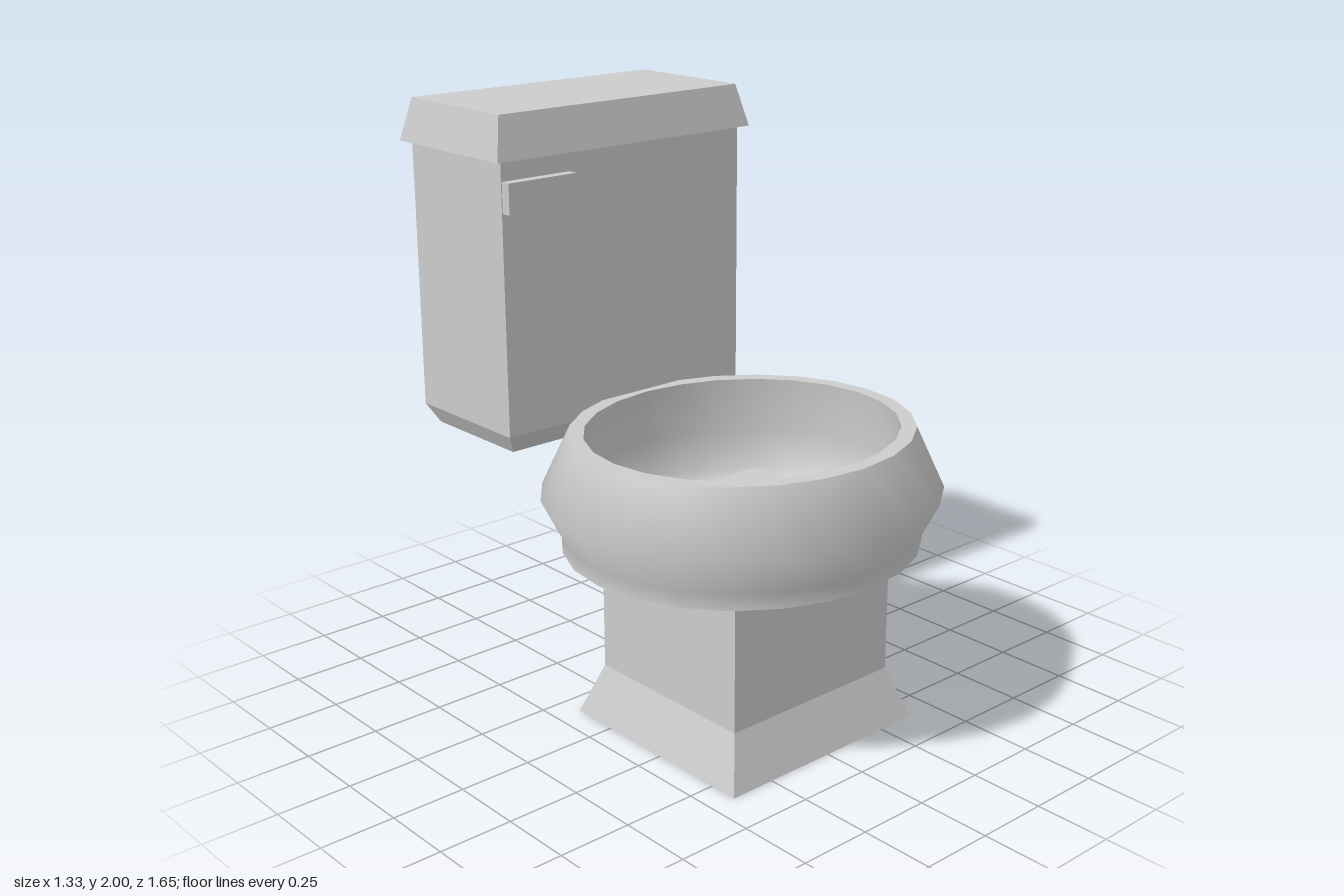
import * as THREE from 'three';
import { toCreasedNormals } from 'three/addons/utils/BufferGeometryUtils.js';

const material = new THREE.MeshStandardMaterial({ color: 0xcccccc });
const flatMaterial = new THREE.MeshStandardMaterial({ color: 0xcccccc, flatShading: true });

// Closed four-sided solid through rectangles [y, x0, x1, z0, z1], bottom to top
function loft(name, levels) {
  const positions = [];
  const rings = levels.map(([y, x0, x1, z0, z1]) => [[x0, y, z1], [x1, y, z1], [x1, y, z0], [x0, y, z0]]);
  const quad = (a, b, c, d) => positions.push(...a, ...b, ...c, ...a, ...c, ...d);
  for (let i = 0; i < rings.length - 1; i++) {
    for (let k = 0; k < 4; k++) {
      const n = (k + 1) % 4;
      quad(rings[i][k], rings[i][n], rings[i + 1][n], rings[i + 1][k]);
    }
  }
  const top = rings[rings.length - 1];
  quad(top[0], top[1], top[2], top[3]);
  quad(rings[0][3], rings[0][2], rings[0][1], rings[0][0]);
  const geometry = new THREE.BufferGeometry();
  geometry.setAttribute('position', new THREE.Float32BufferAttribute(positions, 3));
  geometry.computeVertexNormals();
  const mesh = new THREE.Mesh(geometry, flatMaterial);
  mesh.name = name;
  return mesh;
}

// Hollow round bowl, slightly shorter front to back than it is wide
function makeBowl() {
  const profile = [
    [0, 0.63], [0.6, 0.63], [0.6, 0.68], [0.665, 0.81], [0.58, 1.01],
    [0.53, 1.01], [0.55, 0.82], [0.53, 0.69], [0.5, 0.65], [0, 0.65],
  ].map(([r, y]) => new THREE.Vector2(r, y));
  const lathe = new THREE.LatheGeometry(profile, 24);
  const p = lathe.attributes.position;
  for (let i = 0; i < p.count; i++) {
    const r = Math.hypot(p.getX(i), p.getZ(i));
    if (r > 0.1) p.setZ(i, p.getZ(i) * (r - (r > 0.59 ? 0.033 : 0.05)) / r);
  }
  const mesh = new THREE.Mesh(toCreasedNormals(lathe, THREE.MathUtils.degToRad(58)), material);
  mesh.name = 'bowl';
  mesh.position.z = 0.19;
  return mesh;
}

export function createModel() {
  const model = new THREE.Group();
  model.name = 'toilet';

  // Flared foot, its top showing inside the bowl
  model.add(loft('pedestal', [
    [0, -0.41, 0.39, -0.165, 0.6],
    [0.175, -0.35, 0.33, -0.1, 0.535],
    [0.71, -0.35, 0.33, -0.1, 0.535],
  ]));

  model.add(makeBowl());

  // Tank with a chamfered bottom edge
  model.add(loft('tank', [
    [0.9, -0.515, 0.4, -0.765, -0.35],
    [0.965, -0.55, 0.435, -0.8, -0.315],
    [1.87, -0.55, 0.435, -0.8, -0.315],
  ]));

  // Overhanging lid that narrows upward
  model.add(loft('tankLid', [
    [1.86, -0.58, 0.463, -0.827, -0.287],
    [2, -0.547, 0.43, -0.795, -0.32],
  ]));

  model.add(loft('flushHandle', [
    [1.695, -0.547, -0.285, -0.33, -0.28],
    [1.795, -0.547, -0.285, -0.33, -0.28],
  ]));

  return model;
}
